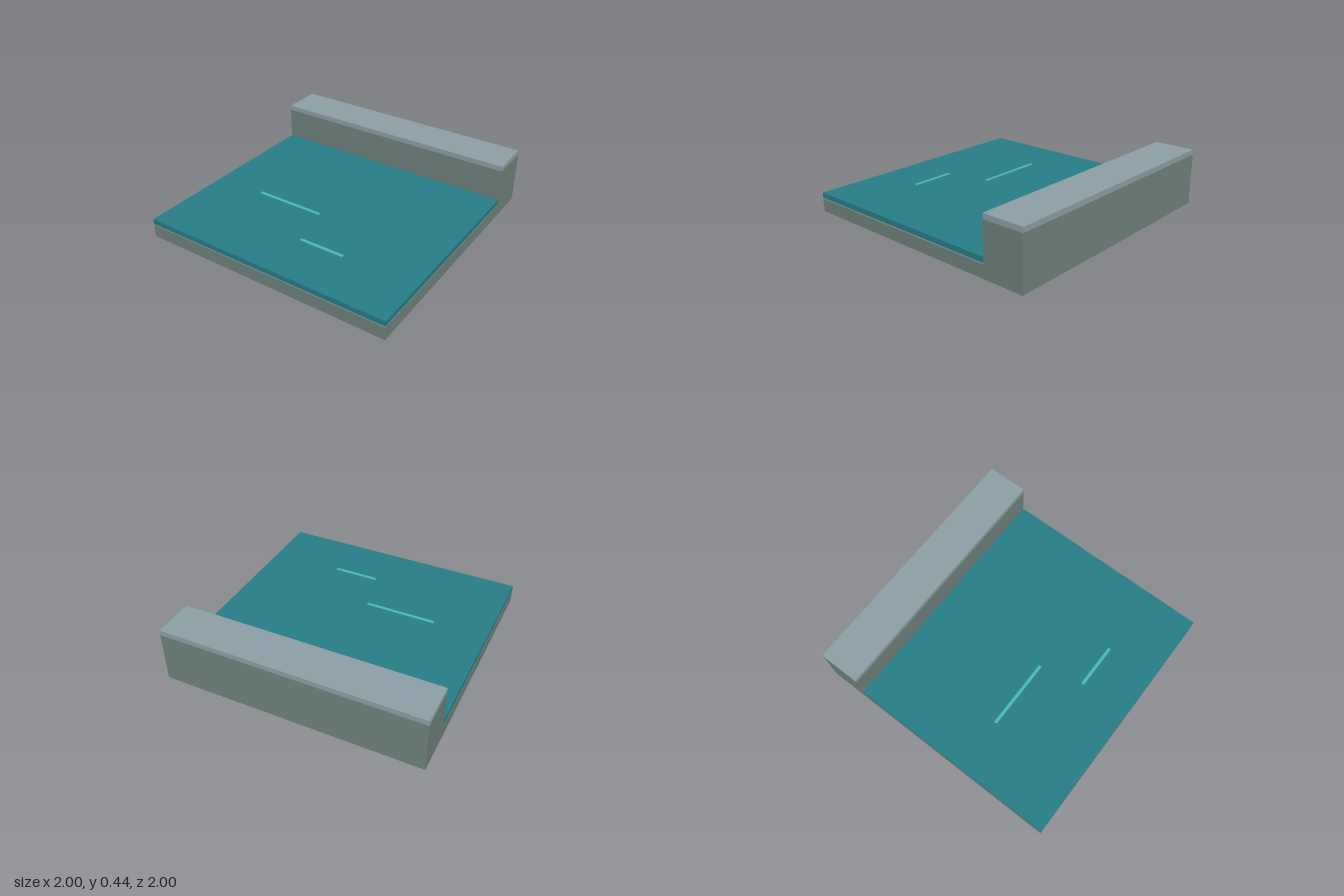
import * as THREE from 'three';

// Box given by its extents along each axis
function slab(name, color, [x0, x1], [y0, y1], [z0, z1]) {
  const mesh = new THREE.Mesh(
    new THREE.BoxGeometry(x1 - x0, y1 - y0, z1 - z0),
    new THREE.MeshStandardMaterial({ color })
  );
  mesh.position.set((x0 + x1) / 2, (y0 + y1) / 2, (z0 + z1) / 2);
  mesh.name = name;
  return mesh;
}

export function createModel() {
  const group = new THREE.Group();
  group.name = 'waterEdge';
  const stone = 0x6f827c, coping = 0x8c9ea6, water = 0x287d88, foam = 0x48b8b8;
  const full = [-1, 1];
  const wallFront = -0.68;

  // Stone bed and the quay wall rising at the back
  group.add(slab('bed', stone, full, [0, 0.1], [wallFront, 1]));
  group.add(slab('wall', stone, full, [0, 0.4], [-1, wallFront]));
  group.add(slab('coping', coping, full, [0.4, 0.44], [-1, wallFront]));

  // Water sheet floating just above the bed
  group.add(slab('water', water, full, [0.11, 0.15], [wallFront, 1]));

  // Thin ripples on the water
  for (const [x0, x1, z] of [[-0.58, -0.02, 0.26], [0.06, 0.42, 0.6]]) {
    group.add(slab('ripple', foam, [x0, x1], [0.148, 0.156], [z - 0.012, z + 0.012]));
  }
  return group;
}
